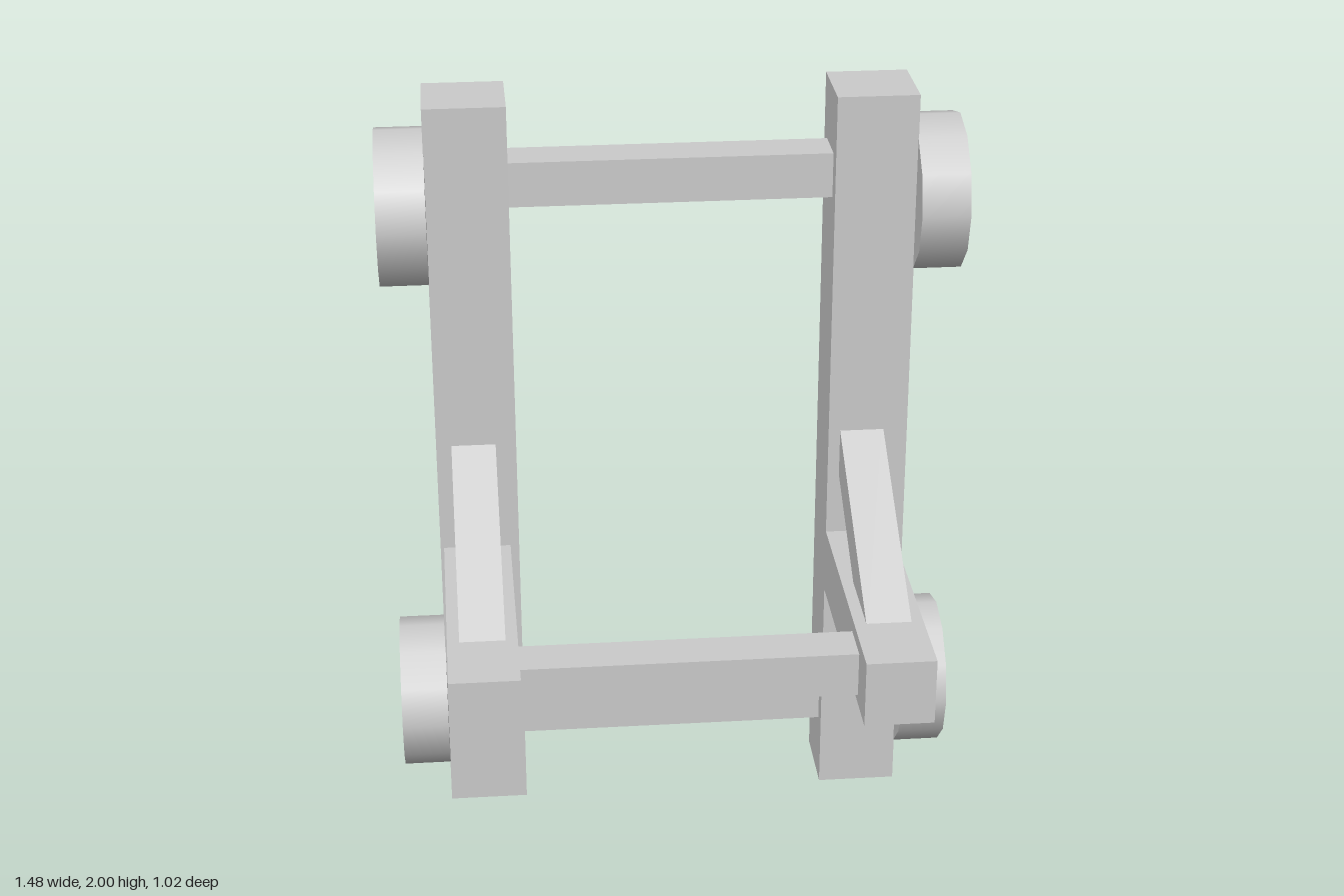
import * as THREE from 'three';

const material = new THREE.MeshStandardMaterial({ color: 0xcccccc });

export function createModel() {
  const model = new THREE.Group();
  model.name = 'wheeledFrame';

  const add = (name, geometry, x, y, z) => {
    const mesh = new THREE.Mesh(geometry, material);
    mesh.name = name;
    mesh.position.set(x, y, z);
    model.add(mesh);
    return mesh;
  };
  const box = (name, w, h, d, x, y, z) => add(name, new THREE.BoxGeometry(w, h, d), x, y, z);

  const backZ = -0.305;
  const armY = 0.70;

  // Cross rails: two between the posts, one between the arms
  box('upperRail', 0.84, 0.117, 0.117, 0, 1.78, backZ);
  box('lowerRail', 0.84, 0.117, 0.117, 0, 0.238, backZ);
  box('frontRail', 0.88, 0.117, 0.117, 0, 0.694, 0.338);

  // Slanted brace profile, drawn in (z, y) relative to the arm's centre line
  const braceShape = new THREE.Shape([
    new THREE.Vector2(0.33, 0.08),
    new THREE.Vector2(-0.22, 0.402),
    new THREE.Vector2(-0.22, 0.273),
    new THREE.Vector2(0.11, 0.08),
  ]);
  const braceGeometry = new THREE.ExtrudeGeometry(braceShape, { depth: 0.115, bevelEnabled: false });
  braceGeometry.translate(0, 0, -0.0575);
  braceGeometry.rotateY(-Math.PI / 2); // profile x becomes z

  // Twelve-sided wheels, axle along x
  const wheelGeometry = new THREE.CylinderGeometry(0.203, 0.203, 0.124, 12);
  wheelGeometry.rotateZ(Math.PI / 2);

  for (const [side, s, armX] of [['left', 1, 0.499], ['right', -1, -0.522]]) {
    box(side + 'Post', 0.208, 2, 0.208, s * 0.515, 1, backZ);
    box(side + 'Arm', 0.176, 0.176, 0.72, armX, armY, 0.148);

    // Braces above and below the arm; the lower is the upper turned over
    const upper = add(side + 'UpperBrace', braceGeometry, armX, armY, 0);
    const lower = add(side + 'LowerBrace', braceGeometry, armX, armY, 0);
    upper.position.y -= 0.005;
    lower.scale.y = -1;

    add(side + 'UpperWheel', wheelGeometry, s * 0.68, 1.713, backZ);
    add(side + 'LowerWheel', wheelGeometry, s * 0.68, 0.296, backZ);
  }

  return model;
}
